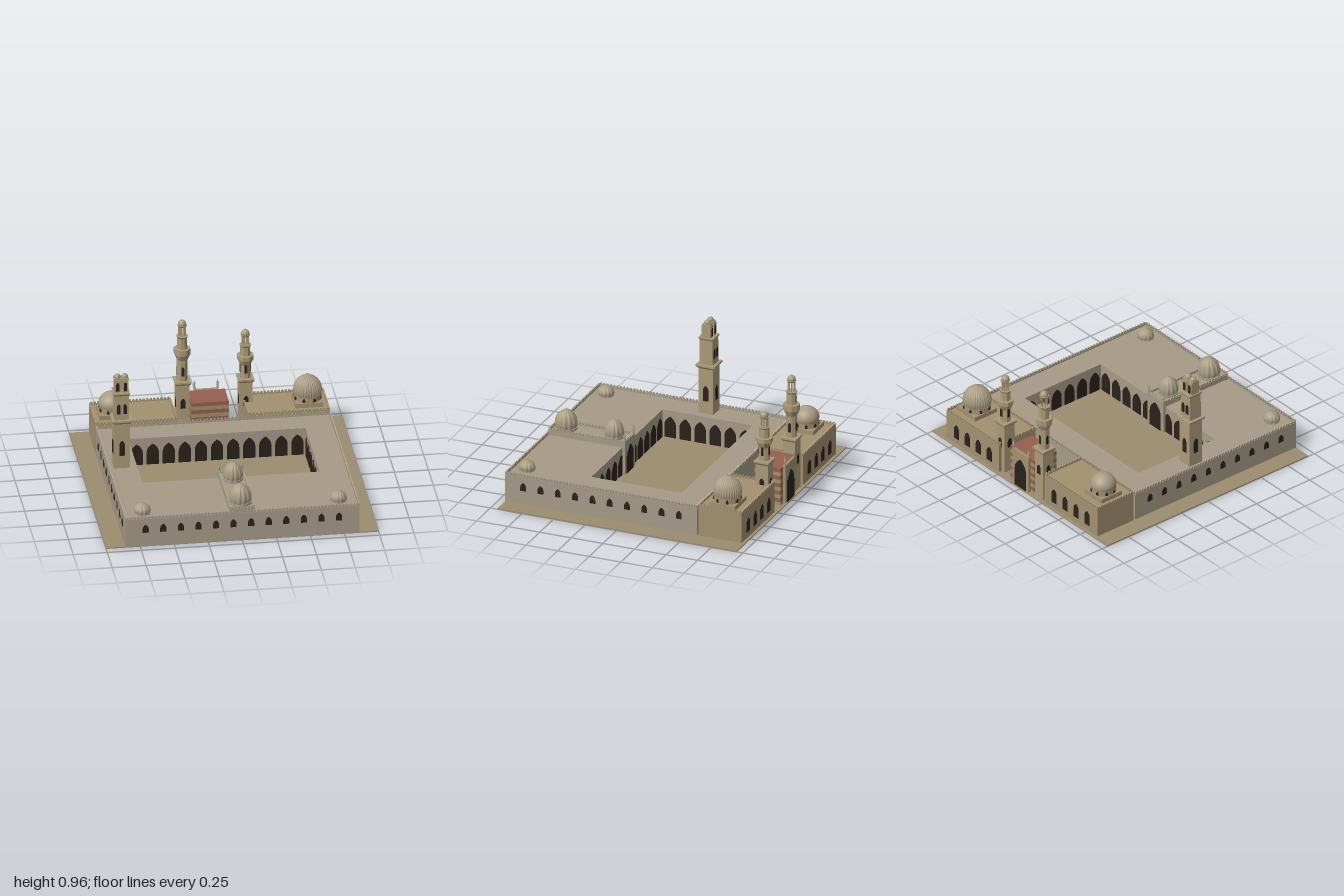
import * as THREE from 'three';

const mat = (color, flatShading = true) =>
  new THREE.MeshStandardMaterial({ color, flatShading, side: THREE.DoubleSide });
const M = {
  ground: mat(0x9c8d70), wall: mat(0xa59b86), annex: mat(0xa39070), tower: mat(0xaa9a78),
  dome: mat(0xa89c82, false), dark: mat(0x2a211b), pink: mat(0x94604e),
};

function add(parent, name, geo, material, x = 0, y = 0, z = 0, ry = 0) {
  const m = new THREE.Mesh(geo, material);
  m.name = name;
  m.position.set(x, y, z);
  m.rotation.y = ry;
  parent.add(m);
  return m;
}

// box given by its limits
const box = (p, name, material, x0, x1, y0, y1, z0, z1) =>
  add(p, name, new THREE.BoxGeometry(x1 - x0, y1 - y0, z1 - z0), material,
    (x0 + x1) / 2, (y0 + y1) / 2, (z0 + z1) / 2);

// regular prism or frustum; r is the distance to the flat sides
function prism(p, name, material, sides, r0, r1, y0, y1, x = 0, z = 0) {
  const k = 1 / Math.cos(Math.PI / sides);
  const g = new THREE.CylinderGeometry(r1 * k, r0 * k, y1 - y0, sides);
  g.rotateY(Math.PI / sides);
  return add(p, name, g, material, x, (y0 + y1) / 2, z);
}

// pointed arch panel standing on its base, facing local +z
function arch(p, name, w, h, x, y, z, ry = 0, depth = 0.006) {
  const s = new THREE.Shape(), a = w / 2, spring = Math.max(h - w * 0.8, h * 0.4);
  s.moveTo(-a, 0);
  s.lineTo(a, 0);
  s.lineTo(a, spring);
  s.quadraticCurveTo(a, spring + (h - spring) * 0.6, 0, h);
  s.quadraticCurveTo(-a, spring + (h - spring) * 0.6, -a, spring);
  const g = new THREE.ExtrudeGeometry(s, { depth, bevelEnabled: false, curveSegments: 4 });
  g.translate(0, 0, -depth / 2);
  return add(p, name, g, M.dark, x, y, z, ry);
}

// the same arch on all four sides of a square or octagonal tier
function arches4(p, name, w, h, r, y) {
  for (let i = 0; i < 4; i++) {
    const a = i * Math.PI / 2;
    arch(p, name, w, h, Math.sin(a) * r, y, Math.cos(a) * r, a);
  }
}

// strip of pointed merlons between two points
function merlons(p, material, x0, z0, x1, z1, y, h = 0.03, depth = 0.01) {
  const len = Math.hypot(x1 - x0, z1 - z0), n = Math.round(len / 0.026), t = len / n;
  const s = new THREE.Shape();
  s.moveTo(0, 0);
  s.lineTo(len, 0);
  for (let i = n - 1; i >= 0; i--)
    for (const [u, v] of [[0.98, 0.3], [0.82, 0.35], [0.86, 0.7], [0.5, 1], [0.14, 0.7], [0.18, 0.35], [0.02, 0.3]])
      s.lineTo((i + u) * t, v * h);
  const g = new THREE.ExtrudeGeometry(s, { depth, bevelEnabled: false });
  g.translate(0, 0, -depth / 2);
  add(p, 'merlons', g, material, x0, y, z0, -Math.atan2(z1 - z0, x1 - x0));
}

function merlonRing(p, material, x0, x1, z0, z1, y, h) {
  merlons(p, material, x0, z0, x1, z0, y, h);
  merlons(p, material, x0, z1, x1, z1, y, h);
  merlons(p, material, x0, z0, x0, z1, y, h);
  merlons(p, material, x1, z0, x1, z1, y, h);
}

// slightly pointed dome, optionally with ribs
function dome(p, name, x, y, z, r, h, ribs = 0, depth = 0.12) {
  const profile = new THREE.SplineCurve(
    [[0.93, 0], [1, 0.22], [0.95, 0.45], [0.78, 0.68], [0.5, 0.86], [0.2, 0.96], [0.001, 1]]
      .map(([a, b]) => new THREE.Vector2(a * r, b * h))).getPoints(16);
  const g = new THREE.LatheGeometry(profile, ribs ? ribs * 6 : 32);
  if (ribs) {
    const v = g.attributes.position;
    for (let i = 0; i < v.count; i++) {
      const a = Math.atan2(v.getX(i), v.getZ(i));
      const k = 1 - depth * (1 - Math.abs(Math.sin(a * ribs / 2)));
      v.setX(i, v.getX(i) * k);
      v.setZ(i, v.getZ(i) * k);
    }
    g.computeVertexNormals();
  }
  add(p, name, g, M.dome, x, y, z);
  add(p, 'finial', new THREE.ConeGeometry(r * 0.05, r * 0.2, 8), M.dome, x, y + h + r * 0.06, z);
}

// slim minaret: square base, octagonal shaft, flared balcony, upper shaft, open lantern
function minaret(root, x, z, yBase, yBalcony, yUpper, yLantern, yDome) {
  const g = new THREE.Group();
  g.name = 'minaret';
  g.position.set(x, 0, z);
  const T = M.tower;
  prism(g, 'base', T, 4, 0.05, 0.048, 0, yBase);
  prism(g, 'baseCornice', T, 4, 0.05, 0.06, yBase, yBase + 0.015);
  prism(g, 'baseCap', T, 4, 0.06, 0.06, yBase + 0.015, yBase + 0.028);
  prism(g, 'shaft', T, 8, 0.038, 0.037, yBase + 0.028, yBalcony);
  prism(g, 'balconyFlare', T, 8, 0.037, 0.056, yBalcony, yBalcony + 0.045);
  prism(g, 'balcony', T, 8, 0.058, 0.058, yBalcony + 0.045, yUpper);
  prism(g, 'upperShaft', T, 8, 0.036, 0.034, yUpper, yLantern - 0.015);
  prism(g, 'upperCornice', T, 8, 0.034, 0.042, yLantern - 0.015, yLantern);
  for (let i = 0; i < 8; i++) {
    const a = (i + 0.5) * Math.PI / 4;
    add(g, 'lanternColumn', new THREE.CylinderGeometry(0.005, 0.005, yDome - yLantern, 6), T,
      Math.sin(a) * 0.024, (yLantern + yDome) / 2, Math.cos(a) * 0.024);
  }
  prism(g, 'lanternRoof', T, 8, 0.028, 0.034, yDome - 0.012, yDome);
  dome(g, 'bulb', 0, yDome, 0, 0.03, 0.042);
  arches4(g, 'baseWindow', 0.036, 0.08, 0.048, 0.21);
  arches4(g, 'shaftWindow', 0.022, 0.075, 0.037, yBase + 0.07);
  root.add(g);
}

export function createModel() {
  const root = new THREE.Group();
  const W = M.wall, A = M.annex, PI = Math.PI;

  box(root, 'ground', M.ground, -1, 1, 0, 0.008, -0.953, 0.942);

  // main building around an open courtyard
  const ring = (x, z0, z1, y0, y1, name) => {
    const s = new THREE.Shape([[-x, -z0], [x, -z0], [x, -z1], [-x, -z1]].map(c => new THREE.Vector2(...c)));
    s.holes.push(new THREE.Path([[-0.65, 0.365], [0.65, 0.365], [0.65, -0.35], [-0.65, -0.35]]
      .map(c => new THREE.Vector2(...c))));
    const g = new THREE.ExtrudeGeometry(s, { depth: y1 - y0, bevelEnabled: false });
    g.rotateX(-PI / 2);
    add(root, name, g, W, 0, y0, 0);
  };
  ring(0.86, -0.575, 0.943, 0.004, 0.215, 'mainWalls');
  ring(0.83, -0.548, 0.912, 0.215, 0.22, 'roof');
  merlonRing(root, W, -0.857, 0.857, -0.572, 0.942, 0.214, 0.032);
  for (let i = 0; i < 12; i++) arch(root, 'frontWindow', 0.045, 0.064, -0.71 + i * 0.129, 0.113, 0.943);
  for (const s of [-1, 1])
    for (let i = 0; i < 10; i++) arch(root, 'sideWindow', 0.045, 0.064, s * 0.86, 0.113, 0.8 - i * 0.137, PI / 2);

  // courtyard arcades
  for (let i = -5; i <= 5; i++) {
    arch(root, 'arcadeArch', 0.09, 0.165, i * 0.118, 0.008, -0.364);
    if (i) arch(root, 'arcadeArch', 0.09, 0.165, i * 0.118, 0.008, 0.349);
  }
  for (const s of [-1, 1])
    for (let i = 0; i < 6; i++)
      arch(root, 'arcadeArch', 0.09, 0.165, s * 0.649, 0.008, -0.305 + i * 0.119, PI / 2);

  // raised nave with its courtyard gateway
  box(root, 'nave', W, -0.09, 0.09, 0.2, 0.252, 0.34, 0.935);
  merlonRing(root, W, -0.088, 0.088, 0.342, 0.933, 0.251, 0.026);
  box(root, 'courtGate', W, -0.092, 0.092, 0.004, 0.268, 0.328, 0.345);
  arch(root, 'courtGateArch', 0.12, 0.215, 0, 0.008, 0.327);
  dome(root, 'naveFrontDome', 0, 0.268, 0.832, 0.084, 0.14, 12);
  dome(root, 'naveRearDome', 0, 0.268, 0.452, 0.073, 0.127, 12);
  prism(root, 'domeDrum', W, 12, 0.08, 0.08, 0.25, 0.27, 0, 0.832);
  prism(root, 'domeDrum', W, 12, 0.07, 0.07, 0.25, 0.27, 0, 0.452);
  for (const s of [-1, 1]) {
    prism(root, 'domeDrum', W, 12, 0.058, 0.058, 0.215, 0.23, s * 0.72, 0.83);
    dome(root, 'cornerDome', s * 0.72, 0.228, 0.83, 0.062, 0.07, 12);
  }

  // two rear wings with domes
  for (const s of [-1, 1]) {
    const x0 = Math.min(s * 0.26, s * 0.86), x1 = Math.max(s * 0.26, s * 0.86);
    box(root, 'rearWing', A, x0, x1, 0.004, 0.238, -0.93, -0.587);
    merlonRing(root, A, x0 + 0.004, x1 - 0.004, -0.927, -0.59, 0.237, 0.025);
    for (let i = 0; i < 4; i++) arch(root, 'wingWindow', 0.055, 0.115, s * (0.37 + i * 0.125), 0.055, -0.931);
    const big = s > 0, b = big ? 0.104 : 0.097, r = big ? 0.106 : 0.095;
    box(root, 'domeBase', A, s * 0.72 - b, s * 0.72 + b, 0.235, 0.272, -0.758 - b, -0.758 + b);
    prism(root, 'domeDrum', A, 16, r * 0.95, r * 0.93, 0.272, 0.308, s * 0.72, -0.758);
    for (let i = 0; i < 8; i++) {
      const a = (i + 0.5) * PI / 4;
      arch(root, 'drumWindow', 0.018, 0.028, s * 0.72 + Math.sin(a) * r * 0.96, 0.276,
        -0.758 + Math.cos(a) * r * 0.96, a);
    }
    dome(root, 'wingDome', s * 0.72, 0.305, -0.758, r, big ? 0.152 : 0.115, big ? 32 : 0, 0.07);
  }

  // striped portal between the wings
  for (let i = 0; i < 10; i++)
    box(root, 'portalBand', i % 2 ? M.pink : A, -0.138, 0.138, 0.004 + i * 0.0296, 0.004 + (i + 1) * 0.0296, -0.925, -0.72);
  box(root, 'portalFrame', A, -0.09, 0.09, 0.004, 0.305, -0.942, -0.92);
  arch(root, 'portalDoor', 0.125, 0.24, 0, 0.008, -0.944);

  // pinnacles on both gateways
  for (const s of [-1, 1])
    for (const [y0, y1, z] of [[0.26, 0.335, 0.335], [0.3, 0.375, -0.937]]) {
      prism(root, 'pinnacle', W, 8, 0.007, 0.006, y0, y1 - 0.03, s * 0.085, z);
      prism(root, 'pinnacleTip', W, 8, 0.009, 0.001, y1 - 0.03, y1, s * 0.085, z);
    }

  // rear minarets
  minaret(root, -0.184, -0.873, 0.395, 0.59, 0.68, 0.78, 0.866);
  minaret(root, 0.277, -0.857, 0.395, 0.525, 0.602, 0.685, 0.765);

  // square twin-headed minaret on the side roof
  const t = new THREE.Group();
  t.name = 'twinHeadedMinaret';
  t.position.set(-0.762, 0, 0.032);
  const T = M.tower;
  prism(t, 'lowerTier', T, 4, 0.06, 0.057, 0.1, 0.575);
  prism(t, 'lowerCornice', T, 4, 0.058, 0.073, 0.575, 0.592);
  prism(t, 'lowerCap', T, 4, 0.074, 0.074, 0.592, 0.607);
  prism(t, 'middleTier', T, 4, 0.053, 0.051, 0.607, 0.8);
  prism(t, 'upperCornice', T, 4, 0.052, 0.059, 0.8, 0.812);
  prism(t, 'upperCap', T, 4, 0.059, 0.059, 0.812, 0.822);
  arches4(t, 'lowerWindow', 0.04, 0.12, 0.058, 0.32);
  for (const s of [-1, 1]) {
    const x = s * 0.028;
    box(t, 'head', T, x - 0.023, x + 0.023, 0.82, 0.918, -0.036, 0.036);
    box(t, 'headCap', T, x - 0.026, x + 0.026, 0.916, 0.93, -0.03, 0.03);
    dome(t, 'headDome', x, 0.929, 0, 0.024, 0.03);
    for (const f of [-1, 1]) {
      arch(t, 'middleWindow', 0.026, 0.08, s * 0.023, 0.655, f * 0.053);
      arch(t, 'headWindow', 0.024, 0.07, x, 0.832, f * 0.036);
    }
  }
  root.add(t);

  return root;
}
